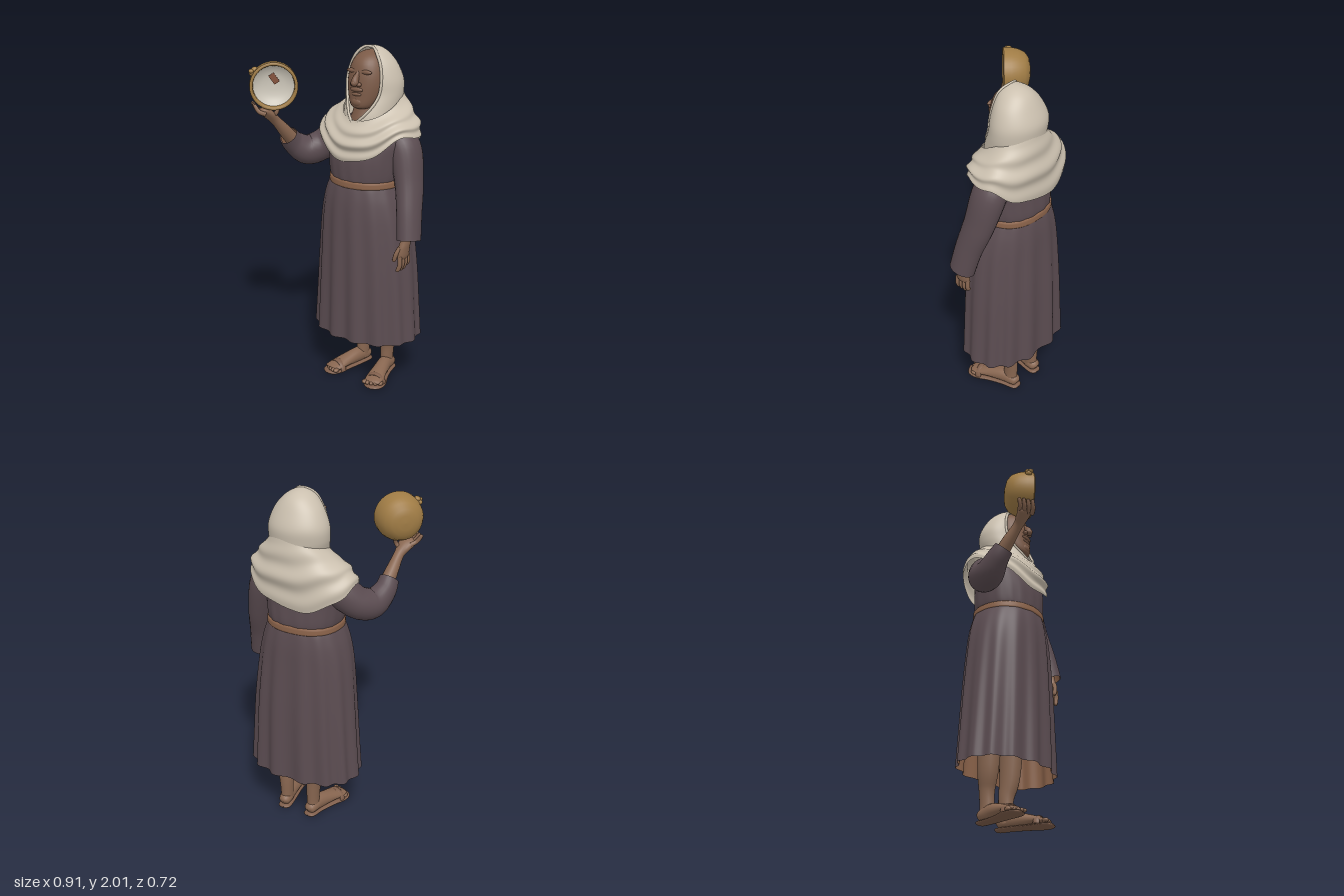
import * as THREE from 'three';

const mat = (name, color, double) => {
  const m = new THREE.MeshStandardMaterial({ color });
  m.name = name;
  if (double) m.side = THREE.DoubleSide;
  return m;
};
const TAU = Math.PI * 2;
const V = (x, y, z) => new THREE.Vector3(x, y, z);
const signPow = (n, e) => Math.sign(n) * Math.abs(n) ** e;

// Smooth interpolation through rows of numbers, t from 0 to 1
function spline(keys, t) {
  const n = keys.length - 1, s = Math.min(t * n, n - 1e-6), i = Math.floor(s), f = s - i;
  const [a, b, c, d] = [keys[Math.max(i - 1, 0)], keys[i], keys[i + 1], keys[Math.min(i + 2, n)]];
  return b.map((p, k) => 0.5 * (2 * p + (c[k] - a[k]) * f + (2 * a[k] - 5 * p + 4 * c[k] - d[k]) * f * f
    + (3 * p - a[k] - 3 * c[k] + d[k]) * f * f * f));
}

// Grid surface from f(u, v); u runs around, v runs upward or along
function surface(f, nu, nv, closed = true, flip = false) {
  const pos = [], idx = [], cols = closed ? nu : nu + 1;
  for (let j = 0; j <= nv; j++)
    for (let i = 0; i < cols; i++) pos.push(...f(i / nu, j / nv).toArray());
  for (let j = 0; j < nv; j++)
    for (let i = 0; i < nu; i++) {
      const a = j * cols + i, b = j * cols + (i + 1) % cols, c = a + cols, d = b + cols;
      if (flip) idx.push(a, c, b, b, c, d); else idx.push(a, b, c, b, d, c);
    }
  const g = new THREE.BufferGeometry();
  g.setAttribute('position', new THREE.Float32BufferAttribute(pos, 3));
  g.setIndex(idx);
  g.computeVertexNormals();
  return g;
}

// Limb swept along keys [x, y, z, rSide, rRef]; ref fixes the section's direction
function limb(keys, ref = V(0, 0, 1), nu = 16, nv = 24, flip = false) {
  return surface((u, v) => {
    const [x, y, z, rs, rf] = spline(keys, v);
    const p = spline(keys, Math.max(v - 0.01, 0)), q = spline(keys, Math.min(v + 0.01, 1));
    const T = V(q[0] - p[0], q[1] - p[1], q[2] - p[2]).normalize();
    const F = ref.clone().addScaledVector(T, -ref.dot(T)).normalize();
    const R = T.clone().cross(F);
    return V(x, y, z).addScaledVector(R, Math.sin(u * TAU) * rs).addScaledVector(F, Math.cos(u * TAU) * rf);
  }, nu, nv, true, flip);
}

// Upright body from keys [y, cx, cz, rx, rz, fold]; squarer at the back, folds weaker at the sides
function body(keys, folds, nu, nv, flip = false, inset = 0) {
  return surface((u, v) => {
    const a = u * TAU, [y, cx, cz, rx, rz, k] = spline(keys, v);
    const s = Math.sin(a), c = Math.cos(a), e = c < 0 ? 0.85 : 1;
    const m = 1 - k * (0.5 + 0.5 * c * c) * Math.cos(folds * a) - inset;
    return V(cx + rx * m * signPow(s, e), y, cz + rz * m * signPow(c, e));
  }, nu, nv, true, flip);
}

export function createModel() {
  const model = new THREE.Group();
  const dress = mat('dress plum', 0x5b4c51, true), cloth = mat('shawl cream', 0xcbc0af, true);
  const skin = mat('skin brown', 0x886650), faceSkin = mat('face brown', 0x7b5a47);
  const beltMat = mat('belt tan', 0x8b634a), sandal = mat('sandal brown', 0x7e5d4a);
  const wood = mat('drum ochre', 0xa07c45, true), hide = mat('drum skin white', 0xcdc7ba), mark = mat('drum mark', 0x83513c);
  const add = (name, geo, m, parent = model) => {
    const mesh = new THREE.Mesh(geo, m);
    mesh.name = name;
    parent.add(mesh);
    return mesh;
  };
  const ball = (name, m, x, y, z, rx, ry = rx, rz = rx, parent = model) => {
    const s = add(name, new THREE.SphereGeometry(1, 16, 12), m, parent);
    s.position.set(x, y, z);
    s.scale.set(rx, ry, rz);
  };

  // Pleated skirt and its lining
  const skirt = [[0.3, 0.053, -0.123, 0.332, 0.229, 0.056], [0.5, 0.054, -0.122, 0.318, 0.227, 0.048],
    [0.75, 0.054, -0.12, 0.301, 0.223, 0.036], [1.0, 0.05, -0.116, 0.276, 0.215, 0.024],
    [1.13, 0.048, -0.116, 0.252, 0.208, 0.014], [1.21, 0.048, -0.117, 0.226, 0.197, 0.01], [1.25, 0.05, -0.118, 0.208, 0.186, 0]];
  add('skirt', body(skirt, 14, 168, 30), dress);
  add('skirtLining', body(skirt, 14, 168, 30, true, 0.012), beltMat);

  // Bodice, belt and neck
  add('bodice', body([[1.24, 0.05, -0.118, 0.2, 0.183, 0], [1.29, 0.05, -0.118, 0.216, 0.19, 0.014],
    [1.4, 0.05, -0.115, 0.228, 0.185, 0.006], [1.5, 0.05, -0.13, 0.24, 0.17, 0],
    [1.57, 0.055, -0.14, 0.18, 0.13, 0], [1.62, 0.06, -0.14, 0.08, 0.08, 0]], 18, 72, 20), dress);
  add('belt', body([[1.226, 0.05, -0.118, 0.2, 0.18, 0], [1.23, 0.05, -0.118, 0.218, 0.195, 0],
    [1.248, 0.05, -0.118, 0.219, 0.196, 0], [1.266, 0.05, -0.118, 0.217, 0.194, 0],
    [1.27, 0.05, -0.118, 0.2, 0.18, 0]], 1, 56, 10), beltMat);
  add('neck', limb([[0.06, 1.52, -0.1, 0.11, 0.1], [0.06, 1.6, -0.1, 0.09, 0.095], [0.06, 1.66, -0.1, 0.07, 0.075],
    [0.06, 1.74, -0.11, 0.065, 0.065]]), faceSkin);

  // Head and face
  const head = new THREE.Group();
  head.name = 'head';
  model.add(head);
  add('skull', body([[1.662, 0.062, -0.055, 0.004, 0.004, 0], [1.668, 0.062, -0.056, 0.045, 0.045, 0],
    [1.69, 0.062, -0.066, 0.072, 0.072, 0], [1.74, 0.062, -0.096, 0.1, 0.1, 0], [1.8, 0.062, -0.108, 0.112, 0.107, 0],
    [1.86, 0.062, -0.12, 0.11, 0.11, 0], [1.92, 0.062, -0.13, 0.092, 0.1, 0],
    [1.96, 0.062, -0.14, 0.06, 0.065, 0], [1.978, 0.062, -0.145, 0.003, 0.003, 0]], 1, 32, 30), faceSkin, head);
  add('noseBridge', limb([[0.062, 1.88, -0.03, 0.01, 0.01], [0.062, 1.855, -0.014, 0.013, 0.016],
    [0.062, 1.83, 0.008, 0.019, 0.021], [0.062, 1.81, 0.014, 0.022, 0.02], [0.062, 1.797, 0.004, 0.003, 0.003]]), faceSkin, head);
  ball('noseTip', faceSkin, 0.062, 1.814, 0.02, 0.018, 0.016, 0.018, head);
  ball('upperLip', faceSkin, 0.062, 1.776, -0.004, 0.042, 0.014, 0.014, head);
  ball('lowerLip', faceSkin, 0.062, 1.75, -0.004, 0.034, 0.011, 0.013, head);
  ball('chin', faceSkin, 0.062, 1.705, -0.012, 0.038, 0.027, 0.024, head);
  for (const s of [-1, 1]) {
    ball('nostril', faceSkin, 0.062 + s * 0.022, 1.806, 0.004, 0.014, 0.012, 0.014, head);
    ball('brow', faceSkin, 0.062 + s * 0.042, 1.872, -0.028, 0.042, 0.013, 0.014, head);
    ball('ear', faceSkin, 0.062 + s * 0.113, 1.785, -0.105, 0.012, 0.04, 0.024, head);
  }

  // Hood, open around the face; keys are [y, cx, cz, rx, rz, opening angle]
  const hood = [[1.59, 0.065, -0.125, 0.15, 0.15, 0.03], [1.635, 0.067, -0.138, 0.155, 0.153, 0.32],
    [1.69, 0.068, -0.155, 0.163, 0.148, 0.55], [1.75, 0.064, -0.17, 0.173, 0.14, 0.68], [1.82, 0.062, -0.175, 0.17, 0.137, 0.74],
    [1.9, 0.064, -0.165, 0.138, 0.113, 0.8], [1.955, 0.065, -0.153, 0.095, 0.09, 0.85],
    [1.985, 0.065, -0.145, 0.055, 0.058, 0.9], [1.997, 0.065, -0.137, 0.022, 0.03, 1], [2.0, 0.065, -0.13, 0.002, 0.002, 1]];
  const hoodAt = (u, v) => {
    const [y, cx, cz, rx, rz, open] = spline(hood, v), a = open + (TAU - 2 * open) * u;
    return V(cx + rx * Math.sin(a), Math.min(y, 2), cz + rz * Math.cos(a));
  };
  add('hood', surface(hoodAt, 48, 45, false), cloth);
  const edge = [];
  for (let i = 0; i <= 13; i++) edge.push(hoodAt(0, i * 0.066));
  for (let i = 13; i >= 0; i--) edge.push(hoodAt(1, i * 0.066));
  add('hoodEdge', new THREE.TubeGeometry(new THREE.CatmullRomCurve3(edge), 80, 0.008, 8), cloth);

  // Shawl draped over the shoulders with sagging folds; keys are [cx, cz, rx, front rz, back rz]
  const shawl = [[0.043, -0.16, 0.316, 0.237, 0.163], [0.053, -0.16, 0.294, 0.243, 0.175], [0.064, -0.15, 0.236, 0.22, 0.178],
    [0.074, -0.14, 0.163, 0.166, 0.167]];
  add('shawl', surface((u, v) => {
    const a = u * TAU, s = Math.sin(a), c = Math.cos(a), [cx, cz, rx, front, back] = spline(shawl, v);
    const lift = 0.05 * Math.exp(-(((a - 0.95) / 0.45) ** 2));
    const low = 1.45 - 0.07 * Math.cos(2 * a - 0.2) + 0.008 * Math.sin(7 * a) + lift, high = 1.7 - 0.09 * c;
    const fold = 0.007 * Math.sin(v * 17 + 1.6 * s + 0.5) * Math.sin(Math.PI * Math.min(v + 0.1, 1));
    const e = c < 0 ? 0.82 + 0.18 * v : 1;
    return V(cx + (rx + fold) * signPow(s, e), low + (high - low) * v,
      cz + ((c < 0 ? back : front) + fold * 1.4) * signPow(c, e));
  }, 80, 40), cloth);

  // Left arm hanging at the side
  const leftSleeve = [[0.2, 1.53, -0.155, 0.06, 0.075], [0.277, 1.45, -0.165, 0.088, 0.1], [0.332, 1.26, -0.135, 0.075, 0.092],
    [0.367, 1.1, -0.09, 0.067, 0.082], [0.39, 0.955, -0.058, 0.065, 0.077]];
  add('leftSleeve', limb(leftSleeve, V(0, 0, 1), 24, 32), dress);
  const lining = (name, keys, ref) =>
    add(name, limb(keys.slice(-2).map(([x, y, z, a, b]) => [x, y, z, a - 0.006, b - 0.006]), ref, 24, 6, true), beltMat);
  lining('leftSleeveLining', leftSleeve, V(0, 0, 1));
  add('leftHand', limb([[0.38, 1.1, -0.07, 0.035, 0.035], [0.378, 0.97, -0.05, 0.028, 0.032], [0.37, 0.91, -0.042, 0.026, 0.044],
    [0.365, 0.86, -0.04, 0.022, 0.046], [0.362, 0.83, -0.04, 0.004, 0.03]]), skin);
  const finger = (name, a, b, c, r) => add(name, limb([[...a, r, r], [...b, r, r], [...c, r * 0.8, r * 0.8],
    [...c.map((n, i) => n + (c[i] - b[i]) * 0.15), 0.001, 0.001]], V(0.3, 0.2, 1), 8, 12), skin);
  for (let i = 0; i < 4; i++) {
    const z = -0.078 + i * 0.026, d = i === 0 ? 0.018 : 0;
    finger('leftFinger', [0.368, 0.87, z], [0.372, 0.82, z], [0.358, 0.782 + d, z + 0.004], 0.0135);
  }
  finger('leftThumb', [0.365, 0.92, -0.01], [0.35, 0.88, 0.008], [0.338, 0.84, 0.01], 0.013);

  // Right arm raised under the drum
  const across = V(1, 0, 0);
  const rightSleeve = [[-0.08, 1.52, -0.16, 0.08, 0.08], [-0.16, 1.475, -0.145, 0.093, 0.093], [-0.245, 1.395, -0.095, 0.09, 0.088],
    [-0.3, 1.37, -0.015, 0.087, 0.082], [-0.335, 1.42, 0.06, 0.068, 0.064], [-0.338, 1.475, 0.11, 0.056, 0.054]];
  add('rightSleeve', limb(rightSleeve, across, 24, 36), dress);
  lining('rightSleeveLining', rightSleeve, across);
  add('rightForearm', limb([[-0.325, 1.41, 0.05, 0.042, 0.042], [-0.337, 1.5, 0.13, 0.037, 0.038], [-0.345, 1.58, 0.205, 0.027, 0.029],
    [-0.357, 1.62, 0.245, 0.026, 0.042], [-0.373, 1.646, 0.28, 0.02, 0.045], [-0.385, 1.655, 0.3, 0.003, 0.02]], across), skin);
  for (let i = 0; i < 4; i++) {
    const k = i * 0.02;
    finger('rightFinger', [-0.395 + k, 1.635, 0.25 + k * 0.8], [-0.42 + k, 1.65, 0.275 + k * 0.8],
      [-0.443 + k, 1.685, 0.285 + k * 0.8], 0.0125);
  }
  finger('rightThumb', [-0.34, 1.61, 0.23], [-0.318, 1.64, 0.225], [-0.318, 1.675, 0.21], 0.0125);

  // Bowl drum, its opening turned to the front and the left
  const drum = new THREE.Group();
  drum.name = 'drum';
  drum.position.set(-0.3, 1.79, 0.265);
  drum.rotation.y = 0.765;
  model.add(drum);
  const lathe = (name, pts, m) => {
    const mesh = add(name, new THREE.LatheGeometry(pts.map((p) => new THREE.Vector2(...p)), 40), m, drum);
    mesh.rotation.x = Math.PI / 2;
  };
  lathe('drumBowl', [[0, -0.15], [0.04, -0.148], [0.075, -0.14], [0.106, -0.118], [0.124, -0.08], [0.133, -0.04], [0.133, 0]], wood);
  lathe('drumRim', [[0.133, 0], [0.129, 0.006], [0.119, 0.006], [0.115, 0], [0.113, -0.03]], wood);
  lathe('drumInside', [[0.114, -0.02], [0.09, -0.04], [0.06, -0.05], [0.03, -0.054], [0, -0.055]], hide);
  const patch = add('drumMark', new THREE.BoxGeometry(0.034, 0.058, 0.008), mark, drum);
  patch.position.set(0.004, 0.034, -0.048);
  patch.rotation.z = 0.6;
  for (const [x, y, z, r] of [[-0.112, 0.07, -0.03, 0.02], [-0.12, 0.084, -0.02, 0.015], [-0.1, 0.09, -0.03, 0.02]])
    ball('drumKnot', wood, x, y, z, r, r * 0.8, r, drum);

  // Legs, feet and sandals, mirrored about the body's middle
  const up = V(0, 1, 0);
  for (const s of [-1, 1]) {
    const side = (keys) => keys.map(([x, ...rest]) => [0.06 + s * x, ...rest]);
    add('leg', limb(side([[0.105, 0.65, -0.17, 0.07, 0.075], [0.105, 0.32, -0.19, 0.056, 0.064], [0.093, 0.19, -0.205, 0.042, 0.047],
      [0.09, 0.1, -0.205, 0.036, 0.044], [0.092, 0.04, -0.205, 0.036, 0.045]])), skin);
    add('foot', limb(side([[0.085, 0.045, -0.262, 0.002, 0.002], [0.087, 0.05, -0.245, 0.034, 0.032], [0.1, 0.06, -0.17, 0.04, 0.046],
      [0.123, 0.052, -0.08, 0.047, 0.036], [0.143, 0.04, -0.005, 0.055, 0.023], [0.149, 0.034, 0.035, 0.046, 0.014],
      [0.151, 0.032, 0.045, 0.003, 0.003]]), up), skin);
    add('sole', limb(side([[0.084, 0.012, -0.268, 0.003, 0.003], [0.086, 0.012, -0.252, 0.036, 0.012], [0.1, 0.012, -0.17, 0.043, 0.012],
      [0.125, 0.012, -0.08, 0.052, 0.012], [0.15, 0.012, 0, 0.065, 0.012], [0.154, 0.012, 0.05, 0.048, 0.012],
      [0.155, 0.012, 0.073, 0.004, 0.003]]), up, 20), sandal);
    for (let i = 0; i < 5; i++)
      ball('toe', skin, 0.06 + s * (0.108 + i * 0.022), 0.033 - i * 0.001, 0.046 - i * i * 0.0025, i ? 0.012 : 0.016, 0.012, 0.02);
    const strap = add('sandalStrap', new THREE.TorusGeometry(0.056, 0.008, 8, 20, Math.PI), sandal);
    strap.position.set(0.06 + s * 0.14, 0.015, -0.015);
    strap.scale.set(1, 0.92, 2.4);
    strap.rotation.y = s * 0.25;
  }
  return model;
}
